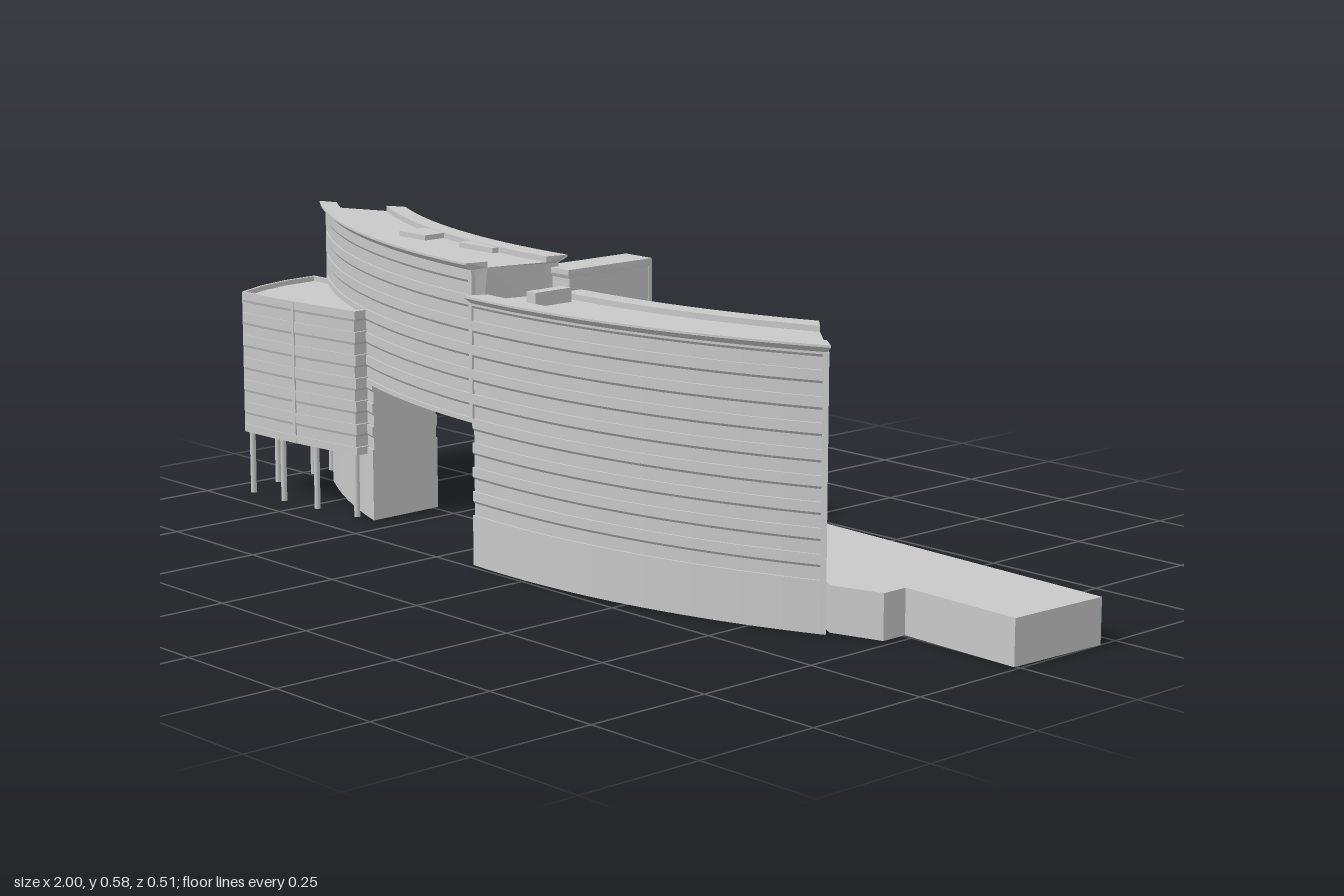
import * as THREE from 'three';

const CX = -0.04, CZ = -1.4;          // shared centre of the curved wings
const RO = 1.641, RI = 1.457;         // outer and inner wall radii
const PITCH = 0.0467, DEG = Math.PI / 180;
const concrete = new THREE.MeshStandardMaterial({ color: 0xc8c8c8 });
concrete.name = 'pale concrete';

// Join closed sections into a flat-faced solid; cap is the 2D outline of a section
function loft(name, sections, cap) {
  const tris = [], n = cap.length, last = sections.length - 1;
  for (let s = 0; s < last; s++) for (let i = 0; i < n; i++) {
    const j = (i + 1) % n, A = sections[s], B = sections[s + 1];
    tris.push([A[i], A[j], B[j]], [A[i], B[j], B[i]]);
  }
  const outline = cap.map(p => new THREE.Vector2(p[0], p[1]));
  const turn = THREE.ShapeUtils.area(outline);
  for (const f of THREE.ShapeUtils.triangulateShape(outline, [])) {
    // wind each cap triangle like the outline, the first cap reversed
    const [a, b, c] = THREE.ShapeUtils.area(f.map(i => outline[i])) * turn > 0 ? f : [f[2], f[1], f[0]];
    const A = sections[0], B = sections[last];
    tris.push([A[c], A[b], A[a]], [B[a], B[b], B[c]]);
  }
  let volume = 0;
  for (const [a, b, c] of tris) volume += a.dot(b.clone().cross(c));
  const pos = [];
  for (const [a, b, c] of tris) for (const v of volume < 0 ? [a, c, b] : [a, b, c]) pos.push(v.x, v.y, v.z);
  const g = new THREE.BufferGeometry();
  g.setAttribute('position', new THREE.Float32BufferAttribute(pos, 3));
  g.computeVertexNormals();
  const m = new THREE.Mesh(g, concrete);
  m.name = name;
  return m;
}

// Sweep a [radius, height] profile; each end is [inner angle, outer angle, eave overhang].
// The plan narrows from the inner side towards the left end.
function sweep(name, profile, start, end, steps, eaveY = 9) {
  const sections = [];
  for (let s = 0; s <= steps; s++) {
    sections.push(profile.map(([r, y]) => {
      const t = (r - RI) / (RO - RI);
      const [a0, a1] = [start, end].map(e => e[0] + (e[1] - e[0]) * t + (y > eaveY ? e[2] : 0));
      const a = THREE.MathUtils.lerp(a0, a1, s / steps);
      const rr = r + 0.04 * (1 - t) * Math.max(0, -a) / 31;
      return new THREE.Vector3(CX + rr * Math.sin(a * DEG), y, CZ + rr * Math.cos(a * DEG));
    }));
  }
  return loft(name, sections, profile);
}

// Stack scaled copies of a plan polygon; rings are [scale, height]
function stack(name, plan, rings) {
  const mx = plan.reduce((s, p) => s + p[0], 0) / plan.length;
  const mz = plan.reduce((s, p) => s + p[1], 0) / plan.length;
  return loft(name, rings.map(([k, y]) => plan.map(([x, z]) =>
    new THREE.Vector3(mx + (x - mx) * k, y, mz + (z - mz) * k))), plan);
}

function box(name, x0, x1, y0, y1, z0, z1) {
  const m = new THREE.Mesh(new THREE.BoxGeometry(x1 - x0, y1 - y0, z1 - z0), concrete);
  m.position.set((x0 + x1) / 2, (y0 + y1) / 2, (z0 + z1) / 2);
  m.name = name;
  return m;
}

const floors = (from, count) => Array.from({ length: count }, (_, i) => from + i * PITCH);

// Wall profile with recessed window strips, sloping spandrel undersides and optional cornice
function wallProfile(y0, top, bands, cornice) {
  const p = [[RO, y0]];
  for (const b of bands) p.push([RO, b - 0.026], [RO - 0.004, b - 0.026], [RO - 0.004, b - 0.003], [RO, b + 0.002]);
  p.push([RO, top]);
  if (cornice) p.push([RO + 0.015, top + 0.011], [RO + 0.015, top + 0.015], [RO - 0.03, top + 0.015], [RO - 0.03, top + 0.004]);
  return p.concat(p.map(([r, y]) => [RO + RI - r, y]).reverse());
}

// Rings for a banded block with a parapet
function bandedRings(y0, top, bands, inset) {
  const r = [[1, y0]];
  for (const b of bands) r.push([1, b - 0.024], [inset, b - 0.024], [inset, b - 0.003], [1, b + 0.002]);
  r.push([1, top], [0.95, top], [0.95, top - 0.01]);
  return r;
}

export function createModel() {
  const model = new THREE.Group();
  model.name = 'curvedOfficeBuilding';
  const add = (...m) => model.add(...m);

  // Right wing, standing on the ground, with plain fins framing its ends
  add(sweep('rightWing', wallProfile(0, 0.503, floors(0.123, 9), true), [-2.8, -4, 0], [20.8, 24.2, 0.1], 40, 0.504));
  add(sweep('rightWingEndFin', wallProfile(0, 0.503, []), [20.3, 23.9], [20.9, 24.3], 1));

  // Left wing, bridging over the opening
  add(sweep('leftWing', wallProfile(0.275, 0.565, floors(0.31, 6), true), [-30.7, -34.4, -0.1], [-2.8, -4, 0.25], 44, 0.566));
  add(sweep('leftWingEndFin', wallProfile(0.275, 0.565, []), [-30.8, -34.5], [-30.4, -34.2], 1));
  add(sweep('jointFin', wallProfile(0.275, 0.565, []), [-3.2, -4.3], [-2.75, -3.95], 1));
  for (const b of floors(0.403, 4)) {
    add(sweep('endSpandrel', [[1.48, b], [1.625, b], [1.625, b + 0.023], [1.48, b + 0.023]],
      [-30.92, -34.62], [-30.7, -34.4], 1));
  }

  // Leg carrying the far end of the left wing, with its inner face square to the front
  add(sweep('leftLeg', wallProfile(0, 0.28, floors(0.17, 3)), [-30.6, -31.6], [-20.7, -18.5], 12));

  // Bowed front annex and pointed rear annex, both raised on columns
  const frontPlan = [[-0.935, -0.03], [-0.99, -0.03], [-0.985, 0.05], [-0.965, 0.125], [-0.93, 0.2],
    [-0.82, 0.197], [-0.72, 0.188], [-0.592, 0.172], [-0.592, 0.13], [-0.78, 0.05]];
  add(stack('frontAnnex', frontPlan, bandedRings(0.13, 0.422, floors(0.17, 6), 0.98)));
  const rearPlan = [[-0.968, -0.225], [-0.805, -0.128], [-0.85, -0.03], [-0.995, -0.045]];
  add(stack('rearAnnex', rearPlan, bandedRings(0.157, 0.41, floors(0.19, 5), 0.97)));
  for (const [x, z] of [[-0.93, 0.197], [-0.77, 0.193]]) add(box('annexMullion', x - 0.004, x + 0.004, 0.13, 0.42, z - 0.008, z));
  const columns = [[-0.978, -0.01], [-0.968, 0.09], [-0.925, 0.185], [-0.82, 0.185], [-0.72, 0.176],
    [-0.61, 0.16], [-0.96, -0.205], [-0.98, -0.06], [-0.875, -0.16]];
  for (const [x, z] of columns) {
    const c = new THREE.Mesh(new THREE.CylinderGeometry(0.006, 0.006, 0.17, 10), concrete);
    c.position.set(x, 0.085, z);
    c.name = 'column';
    add(c);
  }

  // Low podium behind and beside the right wing
  add(stack('podium', [[-0.03, -0.255], [1, -0.21], [0.99, 0.005], [0.73, -0.005], [0.73, 0.05], [0.63, 0.08],
    [0.45, -0.02], [0.2, 0.06], [-0.14, 0.06], [-0.14, -0.23], [-0.03, -0.23]], [[1, 0], [1, 0.086]]));

  // Lift tower with recessed faces framed by posts and a cap
  add(stack('liftTower', [[-0.138, -0.139], [-0.064, -0.139], [-0.064, 0.075], [-0.138, 0.075]],
    [[0.97, 0], [0.97, 0.541], [1, 0.548], [1, 0.558]]));
  for (const x of [-0.138, -0.072]) add(box('towerCornerPost', x, x + 0.008, 0, 0.55, -0.139, -0.131));

  // Rear entrance block with two window strips
  add(stack('entranceBlock', [[-0.138, -0.23], [-0.03, -0.23], [-0.03, -0.138], [-0.138, -0.138]],
    [[1, 0.05], [1, 0.095], [0.96, 0.095], [0.96, 0.121], [1, 0.127], [1, 0.14], [0.96, 0.14], [0.96, 0.151], [1, 0.156], [1, 0.161]]));

  // Podium pavilion and thin canopies on posts
  add(box('pavilion', -0.064, 0.0, 0.08, 0.12, -0.13, 0.05));
  add(box('wideCanopy', -0.064, 0.107, 0.12, 0.132, -0.138, -0.03));
  add(box('linkCanopy', -0.064, 0.107, 0.12, 0.13, -0.03, 0.035));
  add(box('longCanopy', 0.107, 0.33, 0.12, 0.132, -0.05, -0.015));
  for (const [x, z] of [[0.1, -0.13], [0.1, -0.04], [0.22, -0.045], [0.32, -0.045]]) {
    add(box('canopyPost', x - 0.004, x + 0.004, 0.08, 0.122, z - 0.004, z + 0.004));
  }

  // Roof plant boxes
  add(box('roofBoxLarge', -0.55, -0.47, 0.56, 0.579, 0.025, 0.09));
  add(box('roofBoxSmall', -0.36, -0.26, 0.56, 0.579, 0.052, 0.095));
  add(box('roofVent', -0.048, -0.022, 0.5, 0.534, 0.105, 0.193));
  return model;
}
